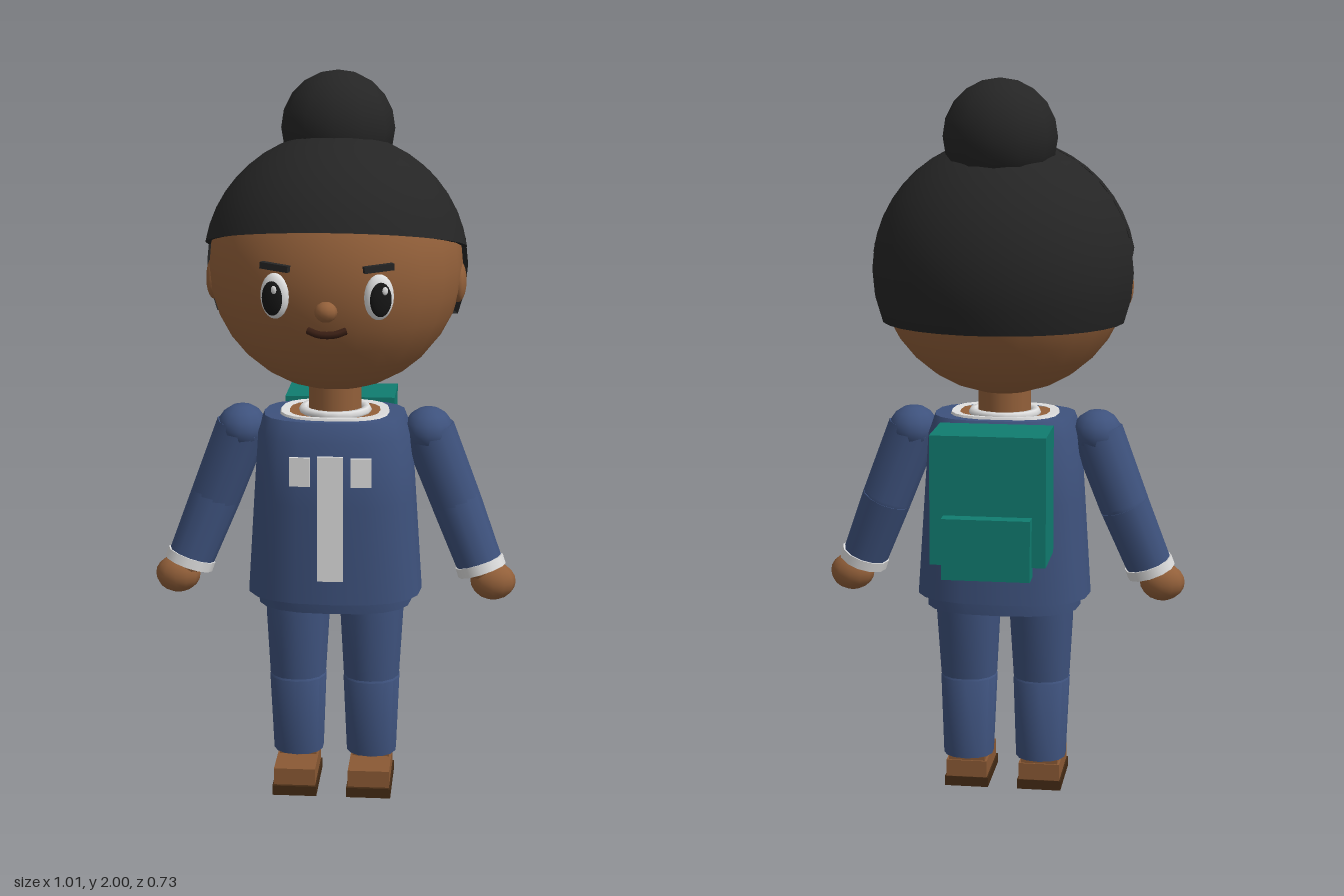
import * as THREE from 'three';
import { toCreasedNormals } from 'three/addons/utils/BufferGeometryUtils.js';

const mat = (name, color, side = THREE.FrontSide) =>
  Object.assign(new THREE.MeshStandardMaterial({ color, side }), { name });

// Grid surface from rows of points (top to bottom, each row running from +z towards +x)
function loft(rows, closed, crease = 0.7) {
  const n = rows[0].length, index = [];
  for (let j = 0; j < rows.length - 1; j++) {
    for (let i = 0; i < (closed ? n : n - 1); i++) {
      const a = j * n + i, b = j * n + (i + 1) % n;
      index.push(a, a + n, b + n, a, b + n, b);
    }
  }
  const g = new THREE.BufferGeometry();
  g.setAttribute('position', new THREE.Float32BufferAttribute(rows.flat(2), 3));
  g.setIndex(index);
  return toCreasedNormals(g, crease);
}

// Rounded-rectangle loop
function ring(y, rx, rz, zc, n = 20, power = 0.75) {
  const bend = v => Math.sign(v) * Math.abs(v) ** power;
  return Array.from({ length: n }, (_, i) => {
    const a = (i / n) * Math.PI * 2;
    return [rx * bend(Math.sin(a)), y, zc + rz * bend(Math.cos(a))];
  });
}

export function createModel() {
  const model = new THREE.Group();
  model.name = 'child';
  const skin = mat('skin', 0x93603a);
  const hair = mat('hair', 0x252525, THREE.DoubleSide);
  const cloth = mat('blue cloth', 0x3e527d, THREE.DoubleSide);
  const white = mat('white', 0xdedede, THREE.DoubleSide);
  const teal = mat('teal bag', 0x107c70);
  const black = mat('black', 0x161616);
  const lip = mat('dark lip', 0x3a1f14);
  const shoe = mat('shoe brown', 0x8a5934);
  const sole = mat('sole brown', 0x432a14);

  const add = (name, geo, m, x = 0, y = 0, z = 0, parent = model) => {
    const mesh = new THREE.Mesh(geo, m);
    mesh.name = name;
    mesh.position.set(x, y, z);
    parent.add(mesh);
    return mesh;
  };
  const ball = (rx, ry, rz, w = 16, h = 12) => new THREE.SphereGeometry(1, w, h).scale(rx, ry, rz);
  const box = (w, h, d) => new THREE.BoxGeometry(w, h, d);
  // Tapered cylinder between two points
  const limb = (name, a, b, ra, rb, m, sides = 12) => {
    const p = new THREE.Vector3(...a), q = new THREE.Vector3(...b);
    const dir = p.clone().sub(q);
    const mesh = add(name, new THREE.CylinderGeometry(ra, rb, dir.length(), sides), m);
    mesh.position.copy(p).add(q).multiplyScalar(0.5);
    mesh.quaternion.setFromUnitVectors(new THREE.Vector3(0, 1, 0), dir.normalize());
    return mesh;
  };

  // Head and neck
  add('head', ball(0.345, 0.345, 0.325, 24, 16), skin, 0, 1.487, 0.005);
  add('neck', new THREE.CylinderGeometry(0.073, 0.073, 0.14, 14), skin, 0, 1.13, 0.02);
  add('nose', ball(0.03, 0.027, 0.03, 10, 8), skin, 0, 1.415, 0.335);

  // Hair cap: a shell whose lower edge is cut by y = base + slope * z
  const H = { y: 1.48, rx: 0.36, ry: 0.36, rz: 0.347 };
  const cap = (from, to, n, base, slope) => {
    const rows = [], m = 10;
    for (let j = 0; j <= m + 1; j++) {
      const row = [];
      for (let i = 0; i <= n; i++) {
        const a = from + (to - from) * i / n;
        const k = slope * H.rz * Math.cos(a);
        const end = Math.acos((base - H.y) / Math.hypot(H.ry, k)) - Math.atan2(k, H.ry);
        const t = end * Math.min(j, m) / m;
        const s = Math.sin(t) * (j > m ? 0.92 : 1); // last row turns inwards
        row.push([H.rx * s * Math.sin(a), H.y + H.ry * Math.cos(t), H.rz * s * Math.cos(a)]);
      }
      rows.push(row);
    }
    return loft(rows, false, 0.8);
  };
  const split = 1.685;
  add('hairFringe', cap(-split, split, 18, 1.538, 0.247), hair);
  add('hairBack', cap(split, Math.PI * 2 - split, 14, 1.345, 0), hair);
  add('hairBun', ball(0.155, 0.155, 0.15, 12, 10), hair, 0, 1.845, -0.075);

  // Mouth
  const smile = new THREE.CatmullRomCurve3([
    [-0.05, 1.36, 0.302], [-0.02, 1.351, 0.312], [0.02, 1.351, 0.312], [0.05, 1.36, 0.302],
  ].map(p => new THREE.Vector3(...p)));
  add('mouth', new THREE.TubeGeometry(smile, 12, 0.01, 6), lip);

  // Shirt with turned-in shoulders and a stepped hem
  add('shirt', loft([
    ring(1.082, 0.14, 0.115, 0.03), ring(1.08, 0.195, 0.14, 0.03), ring(1.03, 0.213, 0.168, 0.03),
    ring(0.85, 0.225, 0.171, 0.027), ring(0.575, 0.243, 0.177, 0.021),
    ring(0.575, 0.217, 0.158, 0.018), ring(0.54, 0.215, 0.155, 0.016),
  ], true), cloth);
  add('upperChest', loft([ring(1.079, 0.001, 0.001, 0.03), ring(1.079, 0.15, 0.12, 0.03)], true), skin);
  add('neckline', loft([
    ring(1.086, 0.125, 0.1, 0.03), ring(1.088, 0.148, 0.122, 0.03), ring(1.078, 0.152, 0.125, 0.03),
  ], true), white);
  const collar = add('collar', new THREE.TorusGeometry(0.088, 0.013, 6, 18), white, 0, 1.085, 0.02);
  collar.rotation.x = Math.PI / 2;
  add('hips', loft([
    ring(0.6, 0.2, 0.14, 0.018), ring(0.56, 0.19, 0.13, 0.018), ring(0.545, 0.001, 0.001, 0.018),
  ], true), skin);

  // Shirt front trim
  add('frontStrip', box(0.07, 0.35, 0.009), white, 0, 0.82, 0.2025);

  // Backpack
  add('backpack', box(0.31, 0.35, 0.18), teal, 0, 0.905, -0.233);
  add('backpackPocket', box(0.236, 0.165, 0.065), teal, 0, 0.783, -0.3325);

  for (const s of [-1, 1]) {
    const side = s > 0 ? 'left' : 'right';

    // Ear, eye and brow
    add(side + 'Ear', ball(0.022, 0.058, 0.042, 12, 10), skin, s * 0.333, 1.443, 0.005);
    const eye = new THREE.Group();
    eye.name = side + 'Eye';
    eye.position.set(s * 0.135, 1.45, 0.303);
    eye.rotation.y = s * 0.33;
    model.add(eye);
    add('eyeWhite', ball(0.04, 0.06, 0.022), white, 0, 0, 0, eye);
    add('pupil', ball(0.029, 0.045, 0.01), black, 0, -0.004, 0.017, eye);
    add('eyeGlint', ball(0.008, 0.011, 0.004, 8, 6), white, 0.009, 0.02, 0.0255, eye);
    const brow = add(side + 'Brow', box(0.08, 0.017, 0.022), hair, s * 0.133, 1.526, 0.305);
    brow.rotation.set(0, s * 0.36, s * 0.08);

    // Chest patch
    const patch = add(side + 'ChestPatch', box(0.056, 0.08, 0.009), white, s * 0.083, 0.95, 0.196);
    patch.rotation.y = s * 0.06;

    // Arm
    const shoulder = [s * 0.258, 1.03, 0.024], elbow = [s * 0.335, 0.83, 0.018];
    const wrist = [s * 0.408, 0.645, 0.042];
    add(side + 'Shoulder', ball(0.07, 0.066, 0.077, 12, 8), cloth, ...shoulder);
    limb(side + 'UpperSleeve', shoulder, elbow, 0.073, 0.07, cloth);
    add(side + 'Elbow', ball(0.069, 0.069, 0.069, 12, 8), cloth, ...elbow);
    limb(side + 'LowerSleeve', elbow, wrist, 0.07, 0.064, cloth);
    limb(side + 'Cuff', [s * 0.402, 0.662, 0.04], [s * 0.411, 0.636, 0.043], 0.069, 0.069, white);
    limb(side + 'Wrist', wrist, [s * 0.43, 0.61, 0.042], 0.04, 0.035, skin);
    add(side + 'Hand', ball(0.063, 0.053, 0.05, 12, 10), skin, s * 0.442, 0.606, 0.042);

    // Trouser leg in two lengths meeting at the knee
    const leg = (...rows) => loft(rows.map(([y, rx, rz, zc]) =>
      ring(y, rx, rz, zc, 14, 0.9).map(([x, py, z]) => [x + s * 0.104, py, z])), true);
    add(side + 'Thigh', leg([0.58, 0.091, 0.096, 0.022], [0.5, 0.089, 0.094, 0.026],
      [0.324, 0.079, 0.083, 0.033], [0.324, 0.07, 0.074, 0.033]), cloth);
    add(side + 'Shin', leg([0.332, 0.07, 0.074, 0.034], [0.318, 0.08, 0.083, 0.034],
      [0.09, 0.071, 0.072, 0.022], [0.09, 0.04, 0.045, 0.022]), cloth);

    // Shoe
    add(side + 'Ankle', new THREE.CylinderGeometry(0.04, 0.045, 0.06, 12), skin, s * 0.104, 0.08, 0.02);
    add(side + 'ShoeUpper', box(0.116, 0.048, 0.195), shoe, s * 0.104, 0.052, 0.068);
    add(side + 'ShoeTongue', box(0.104, 0.016, 0.08), shoe, s * 0.104, 0.082, 0.015);
    add(side + 'ShoeSole', box(0.124, 0.028, 0.207), sole, s * 0.104, 0.014, 0.0715);
  }
  return model;
}
